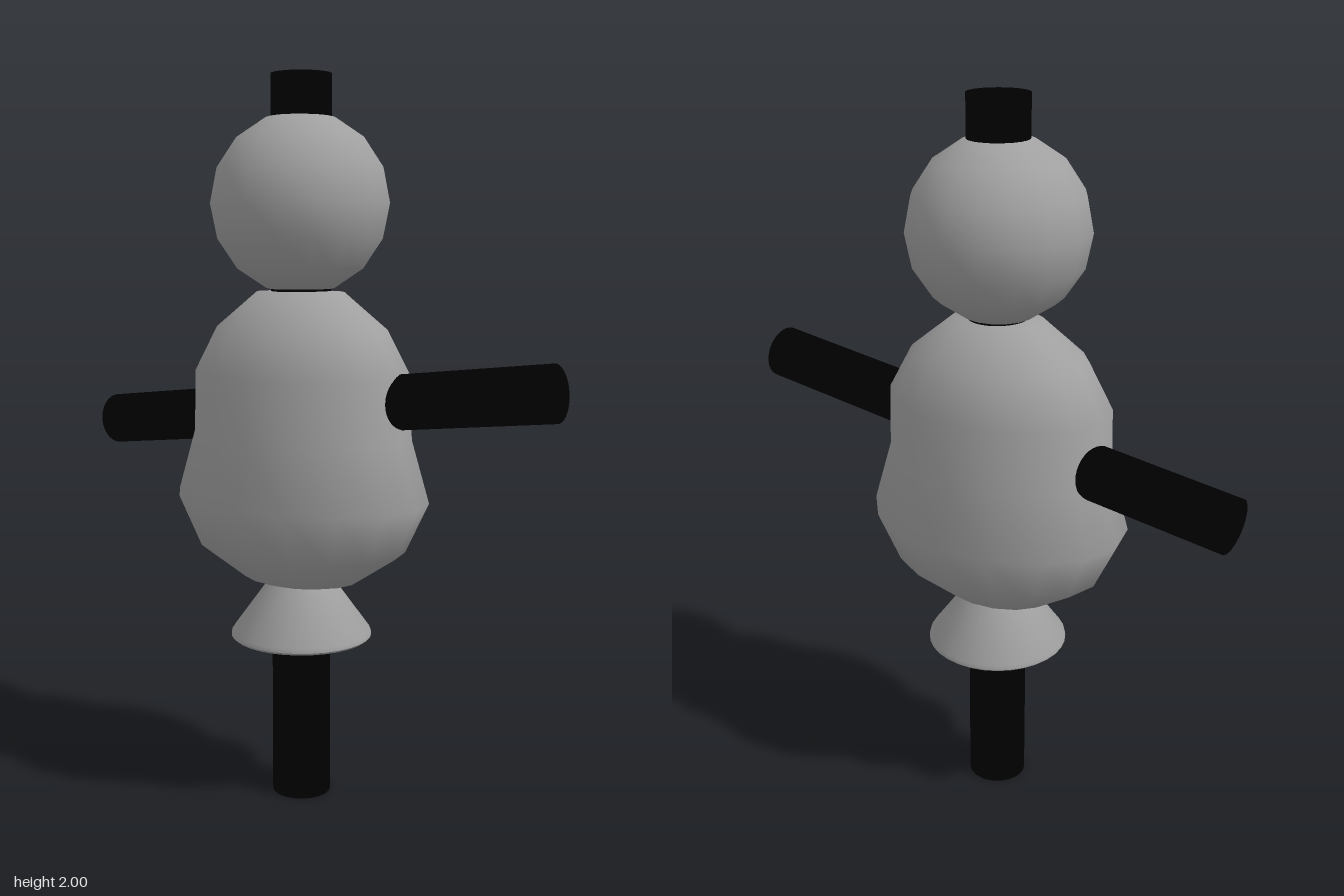
import * as THREE from 'three';
import { toCreasedNormals } from 'three/addons/utils/BufferGeometryUtils.js';

const AXIS_X = -0.018; // the figure stands slightly off centre

export function createModel() {
  const model = new THREE.Group();
  const grey = new THREE.MeshStandardMaterial({ color: 0xa0a0a0 });
  const black = new THREE.MeshStandardMaterial({ color: 0x000000 });

  const add = (name, geometry, material, x, y, z) => {
    const mesh = new THREE.Mesh(geometry, material);
    mesh.name = name;
    mesh.position.set(x, y, z);
    model.add(mesh);
    return mesh;
  };
  const lathe = (profile, segments) =>
    new THREE.LatheGeometry(profile.map(([r, y]) => new THREE.Vector2(r, y)), segments);

  // Pole running from the ground through the figure to the top of the head
  add('pole', new THREE.CylinderGeometry(0.082, 0.082, 2, 32), black, AXIS_X, 1, 0);

  // Flared skirt with a thin rim
  const skirt = lathe([[0, 0.455], [0.19, 0.455], [0.198, 0.462], [0.196, 0.474], [0.09, 0.62], [0.07, 0.65]], 32);
  add('skirt', toCreasedNormals(skirt, 0.7), grey, AXIS_X, 0, 0);

  // Pear-shaped body, flattened front to back
  const body = lathe([
    [0, 0.615], [0.13, 0.616], [0.175, 0.627], [0.312, 0.717], [0.38, 0.857],
    [0.328, 1.03], [0.324, 1.2], [0.255, 1.325], [0.13, 1.424], [0, 1.43],
  ], 16);
  body.scale(1, 1, 0.757);
  add('body', body, grey, AXIS_X - 0.003, 0, 0);

  // Head
  add('head', new THREE.SphereGeometry(0.245, 16, 8), grey, AXIS_X - 0.002, 1.66, 0);

  // Tilted rod through the body forming both arms
  const arms = add('arms', new THREE.CylinderGeometry(0.074, 0.074, 1.481, 32), black, 0.001, 1.105, -0.021);
  arms.rotation.z = -Math.PI / 2 + 0.118;

  return model;
}
